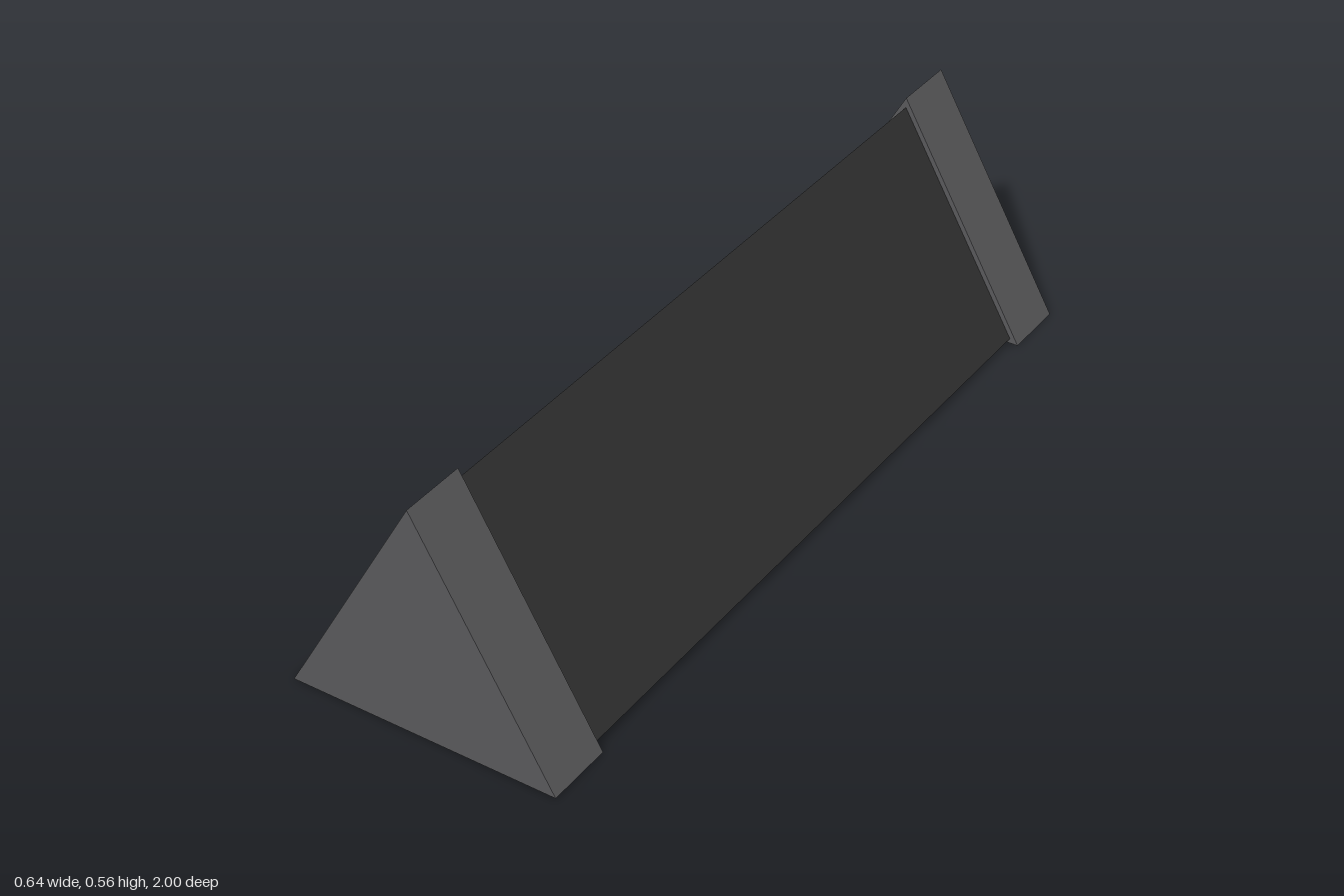
import * as THREE from 'three';

const CENTRE_Y = 0.185; // centroid height of the triangular section

// Equilateral prism along z, from z0 to z1, apex up
function prism(name, radius, z0, z1, material) {
  const shape = new THREE.Shape();
  for (let i = 0; i < 3; i++) {
    const a = Math.PI / 2 + (i * Math.PI * 2) / 3;
    const x = radius * Math.cos(a), y = radius * Math.sin(a);
    if (i === 0) shape.moveTo(x, y);
    else shape.lineTo(x, y);
  }
  shape.closePath();
  const geometry = new THREE.ExtrudeGeometry(shape, { depth: z1 - z0, bevelEnabled: false });
  const mesh = new THREE.Mesh(geometry, material);
  mesh.name = name;
  mesh.position.set(0, CENTRE_Y, z0);
  return mesh;
}

export function createModel() {
  const capGrey = new THREE.MeshStandardMaterial({ color: 0x58585a });
  capGrey.name = 'capGrey';
  const bodyBlack = new THREE.MeshStandardMaterial({ color: 0x313131 });
  bodyBlack.name = 'bodyBlack';

  const model = new THREE.Group();
  model.name = 'triangularTube';

  // Long body and the two wider end caps
  model.add(prism('body', 0.346, -0.9, 0.9, bodyBlack));
  model.add(prism('frontCap', 0.37, 0.842, 1, capGrey));
  model.add(prism('backCap', 0.37, -0.993, -0.835, capGrey));

  // Thin round button on the back cap
  const button = new THREE.Mesh(new THREE.CylinderGeometry(0.087, 0.087, 0.008, 32), bodyBlack);
  button.name = 'backButton';
  button.rotation.x = Math.PI / 2;
  button.position.set(0, CENTRE_Y, -0.996);
  model.add(button);

  return model;
}
